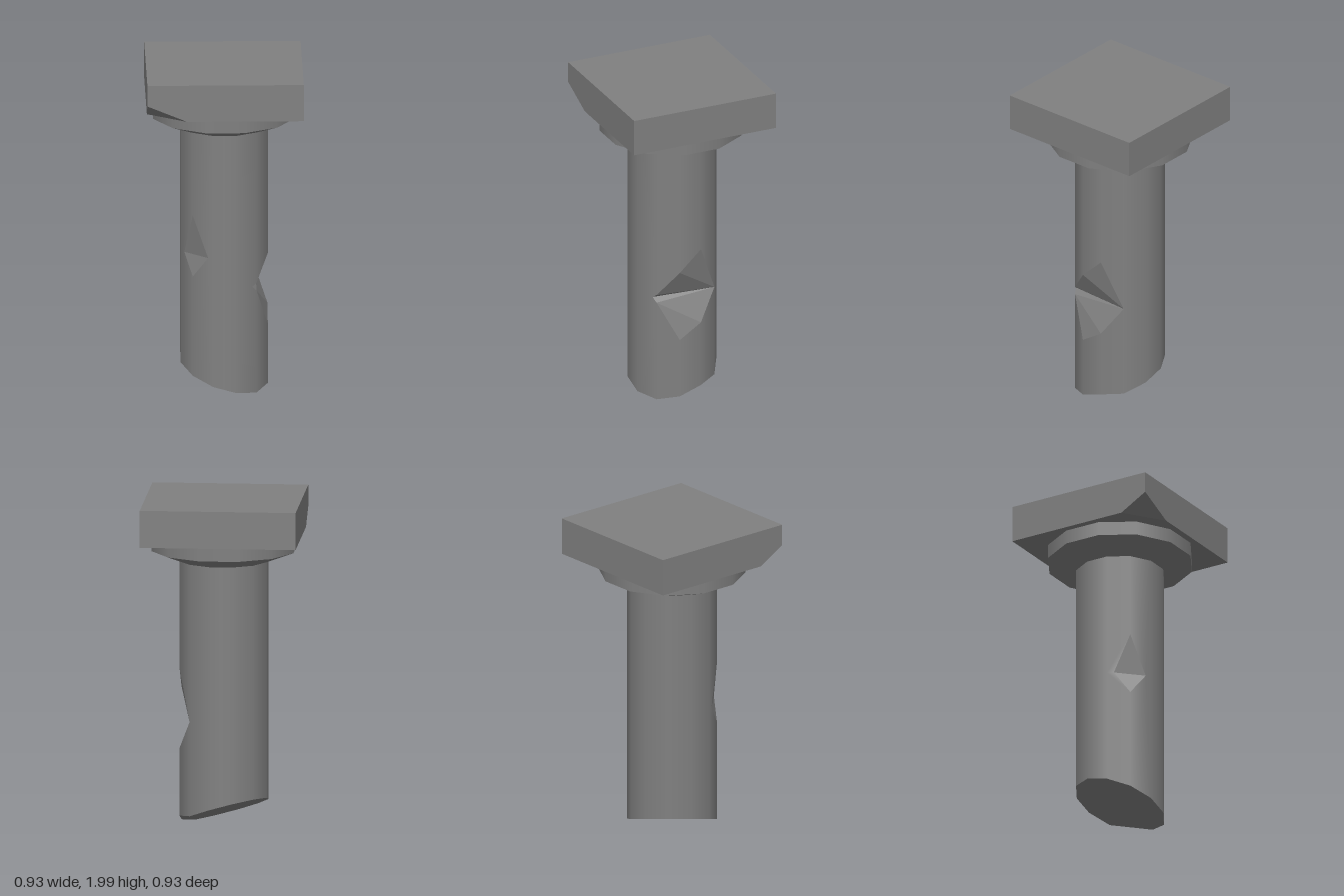
import * as THREE from 'three';
import { ConvexGeometry } from 'three/addons/geometries/ConvexGeometry.js';

const SIDES = 12, R = 0.2695, SHAFT_TOP = 1.625;
const stone = new THREE.MeshStandardMaterial({ color: 0x808080 });
stone.name = 'grey stone';

// corner i of the twelve-sided shaft, as (x, z)
function corner(i) {
  const a = ((i + 0.5) / SIDES) * Math.PI * 2;
  return new THREE.Vector2(Math.cos(a) * R, Math.sin(a) * R);
}
const between = (i, j, t) => corner(i).lerp(corner(j), t);
const at = (p, y) => new THREE.Vector3(p.x, y, p.y);

// slanted broken foot of the shaft
const footBump = { 0: 0.015, '-1': 0.03 };
const footY = (p, i) => 0.105 - 0.28 * p.x - 0.24 * p.y + (footBump[i] || 0);

// convex block of the shaft: drops hidden inner faces, rounds the upright ones
function shaftBlock(points) {
  const src = new ConvexGeometry(points).getAttribute('position');
  const pos = [], nor = [];
  const tri = new THREE.Triangle(), n = new THREE.Vector3();
  for (let k = 0; k < src.count; k += 3) {
    tri.setFromAttributeAndIndices(src, k, k + 1, k + 2);
    const corners = [tri.a, tri.b, tri.c];
    tri.getNormal(n);
    if (Math.abs(n.y) > 0.999 || corners.every(v => Math.abs(v.x) < 1e-4)) continue;
    for (const v of corners) {
      pos.push(v.x, v.y, v.z);
      const m = Math.abs(n.y) < 0.01 ? new THREE.Vector3(v.x, 0, v.z).normalize() : n;
      nor.push(m.x, m.y, m.z);
    }
  }
  const g = new THREE.BufferGeometry();
  g.setAttribute('position', new THREE.Float32BufferAttribute(pos, 3));
  g.setAttribute('normal', new THREE.Float32BufferAttribute(nor, 3));
  return g;
}

// half of the shaft with a wedge chip; chip[i] = [lower y, upper y] on corner i
function shaftHalf(first, ridgeY, chip, ridgeEnds) {
  const apothem = R * Math.cos(Math.PI / SIDES);
  const lower = ridgeEnds.map(p => at(p, ridgeY));
  const upper = ridgeEnds.map(p => at(p, ridgeY));
  const add = (p, i) => {
    const [lo, hi] = chip[i] || [ridgeY, ridgeY];
    lower.push(at(p, footY(p, i)), at(p, lo));
    upper.push(at(p, hi), at(p, SHAFT_TOP));
  };
  for (let i = first; i < first + SIDES / 2; i++) add(corner(i), i);
  for (const s of [-1, 1]) add(new THREE.Vector2(0, s * apothem));
  return [shaftBlock(lower), shaftBlock(upper)];
}

export function createModel() {
  const model = new THREE.Group();
  model.name = 'brokenColumn';
  const add = (name, geometry, parent = model) => {
    const mesh = new THREE.Mesh(geometry, stone);
    mesh.name = name;
    parent.add(mesh);
    return mesh;
  };

  // shaft, in two halves, each with one chip
  const shaft = new THREE.Group();
  shaft.name = 'shaft';
  model.add(shaft);
  const halves = {
    leftShaft: shaftHalf(-3, 0.67,
      { 1: [0.64, 0.69], 0: [0.40, 0.84], '-1': [0.49, 0.97] },
      [between(1, 2, 0.21)]),
    rightShaft: shaftHalf(3, 0.86,
      { 4: [0.73, 1.11] },
      [between(4, 3, 0.75), between(4, 5, 0.7)]),
  };
  for (const [name, [lower, upper]] of Object.entries(halves)) {
    add(name + 'Lower', lower, shaft);
    add(name + 'Upper', upper, shaft);
  }

  // capital: flared underside and upright band
  const ring = (name, top, bottom, y0, y1) => {
    const g = new THREE.CylinderGeometry(top, bottom, y1 - y0, SIDES);
    g.rotateY(Math.PI / SIDES);
    add(name, g).position.y = (y0 + y1) / 2;
  };
  ring('capitalFlare', 0.44, R, SHAFT_TOP, 1.69);
  ring('capitalBand', 0.44, 0.44, 1.69, 1.775);

  // square top slab with one broken lower corner
  const S = 0.467, y0 = 1.775, y1 = 2;
  const slab = [[-S, 1.872, S], [-0.23, y0, S], [-S, y0, 0.3]];
  for (const x of [-S, S]) for (const z of [-S, S]) {
    slab.push([x, y1, z]);
    if (x > 0 || z < 0) slab.push([x, y0, z]);
  }
  add('topSlab', new ConvexGeometry(slab.map(p => new THREE.Vector3(...p))));

  return model;
}
